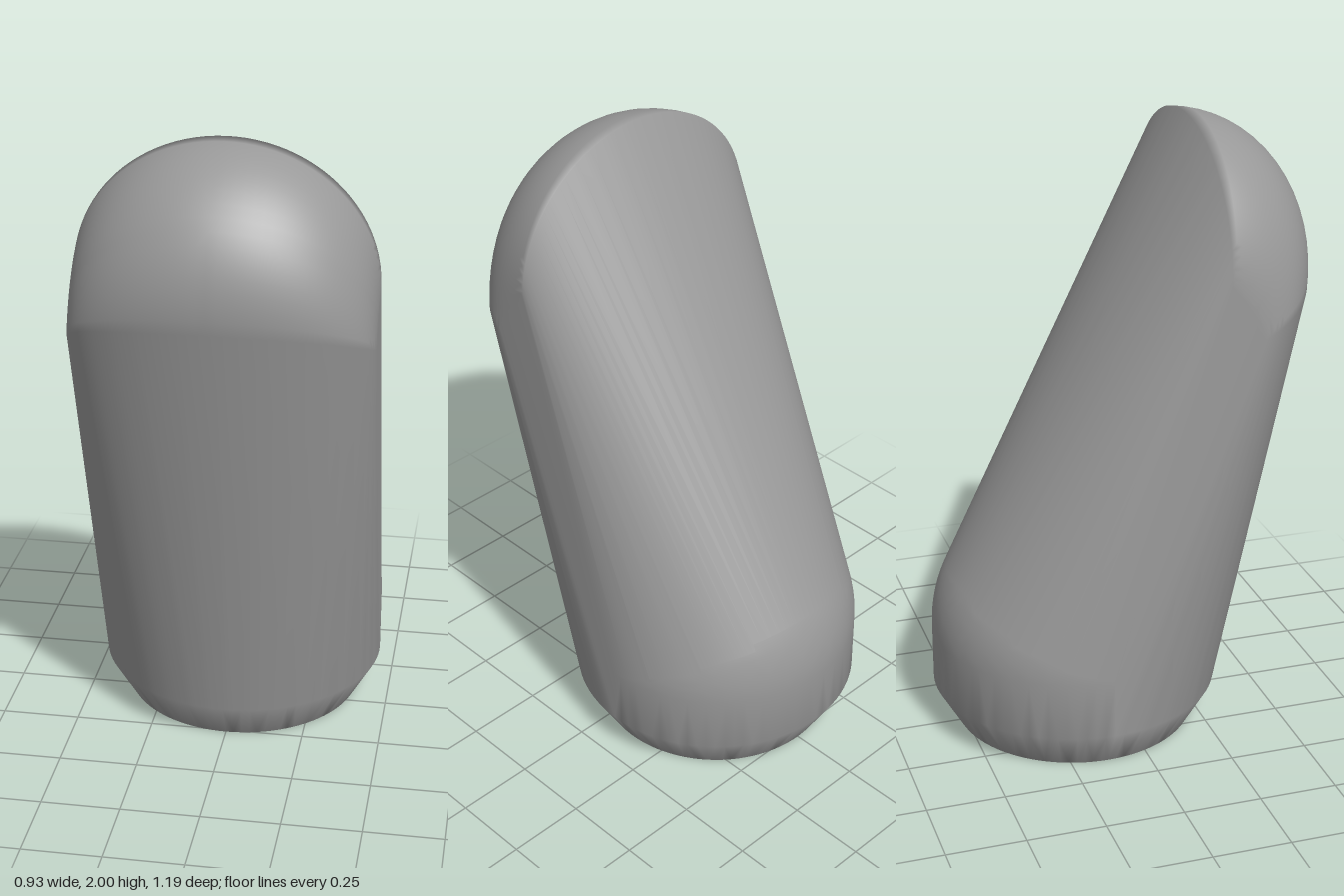
import * as THREE from 'three';
import { ConvexGeometry } from 'three/addons/geometries/ConvexGeometry.js';
import { mergeVertices } from 'three/addons/utils/BufferGeometryUtils.js';

const HALF = 0.465; // half width of the body
const ARC = 48;     // steps across the width

// Each profile entry: [mid z, mid y, side z, side y, half width].
// Every entry is a half ellipse from the left side over the middle to the right.
function bodyProfile() {
  const p = [
    [0.26, 0, -0.13, 0, 0.39],          // front of the foot
    [0.335, 0.13, -0.13, 0.13, HALF],   // top of the front chamfer
  ];
  // rounded head
  const steps = 16;
  for (let i = 0; i <= steps; i++) {
    const f = i / steps;
    const a = THREE.MathUtils.degToRad(-9 + 95 * f);
    p.push([
      0.2 + 0.4 * Math.cos(a), 1.58 + 0.42 * Math.sin(a),
      0.34 - 0.11 * f, 1.4 + 0.17 * f, HALF,
    ]);
  }
  // spherical shoulder at the lower back
  for (let i = 0; i <= 8; i++) {
    const a = THREE.MathUtils.degToRad(152.4 + 27.6 * i / 8);
    p.push([-0.13 + HALF * Math.cos(a), 0.32 + HALF * Math.sin(a), -0.13, 0.32, HALF]);
  }
  p.push([-0.595, 0.13, -0.13, 0.13, HALF]); // top of the back chamfer
  p.push([-0.52, 0, -0.13, 0, 0.39]);        // back of the foot
  return p;
}

// The body is the taut skin around all the half ellipses, shaded smooth throughout.
function bodyGeometry() {
  const points = [];
  for (const [mz, my, sz, sy, w] of bodyProfile()) {
    for (let u = 0; u <= ARC; u++) {
      const s = u === ARC ? 0 : Math.sin(Math.PI * u / ARC);
      points.push(new THREE.Vector3(w * Math.cos(Math.PI * u / ARC), sy + (my - sy) * s, sz + (mz - sz) * s));
    }
  }
  const hull = new ConvexGeometry(points);
  hull.deleteAttribute('normal');
  const geometry = mergeVertices(hull, 1e-5);
  geometry.computeVertexNormals();
  return geometry;
}

export function createModel() {
  const group = new THREE.Group();
  group.name = 'leaningRoundedBlock';
  const body = new THREE.Mesh(bodyGeometry(), new THREE.MeshStandardMaterial({ color: 0x999999 }));
  body.name = 'body';
  group.add(body);
  return group;
}
